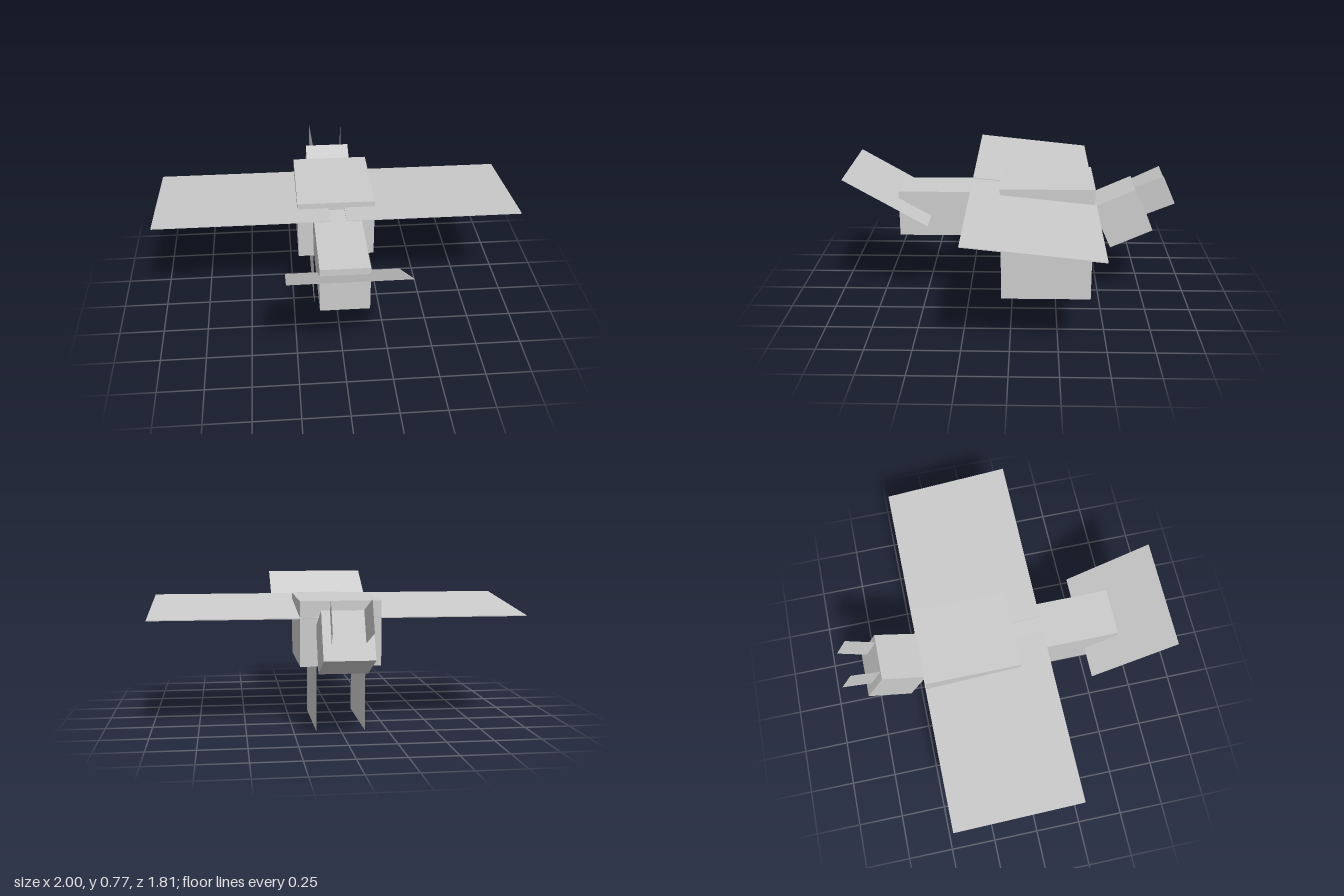
import * as THREE from 'three';

export function createModel() {
  const model = new THREE.Group();
  const grey = new THREE.MeshStandardMaterial({ color: 0xcccccc, side: THREE.DoubleSide });
  grey.name = 'grey';

  function add(name, geometry, x, y, z, parent = model) {
    const mesh = new THREE.Mesh(geometry, grey);
    mesh.name = name;
    mesh.position.set(x, y, z);
    parent.add(mesh);
    return mesh;
  }

  // torso and the long block in front of it
  add('body', new THREE.BoxGeometry(0.43, 0.345, 0.52), 0, 0.5225, -0.195);
  add('frontBlock', new THREE.BoxGeometry(0.26, 0.257, 0.565), 0, 0.522, 0.3475);

  // sheet rising towards the front at 30 degrees
  const tail = add('tailFan', new THREE.PlaneGeometry(0.604, 0.52), 0, 0.64, 0.678);
  tail.rotation.x = -Math.PI / 2 - Math.PI / 6;

  // tilted head, local z along its sloping top
  const head = new THREE.Group();
  head.name = 'head';
  head.position.set(0, 0.4975, -0.6165);
  head.rotation.x = THREE.MathUtils.degToRad(24.3);
  model.add(head);
  add('skull', new THREE.BoxGeometry(0.26, 0.26, 0.255), 0, 0, 0, head);

  for (const side of [1, -1]) {
    // flat wings, slightly raised at the front
    const wing = add(side > 0 ? 'leftWing' : 'rightWing',
      new THREE.BoxGeometry(0.956, 0.005, 0.693), side * 0.522, 0.641, -0.118);
    wing.rotation.x = -0.105;

    // thin upright legs
    const leg = add(side > 0 ? 'leftLeg' : 'rightLeg',
      new THREE.PlaneGeometry(0.52, 0.35), side * 0.13, 0.175, -0.195);
    leg.rotation.y = Math.PI / 2;

    // thin ears spreading outwards from the end of the head
    const ear = add(side > 0 ? 'leftEar' : 'rightEar',
      new THREE.PlaneGeometry(0.17, 0.172), side * 0.093, 0.044, -0.2125, head);
    ear.rotation.y = Math.PI / 2 - side * 0.085;
  }

  return model;
}
